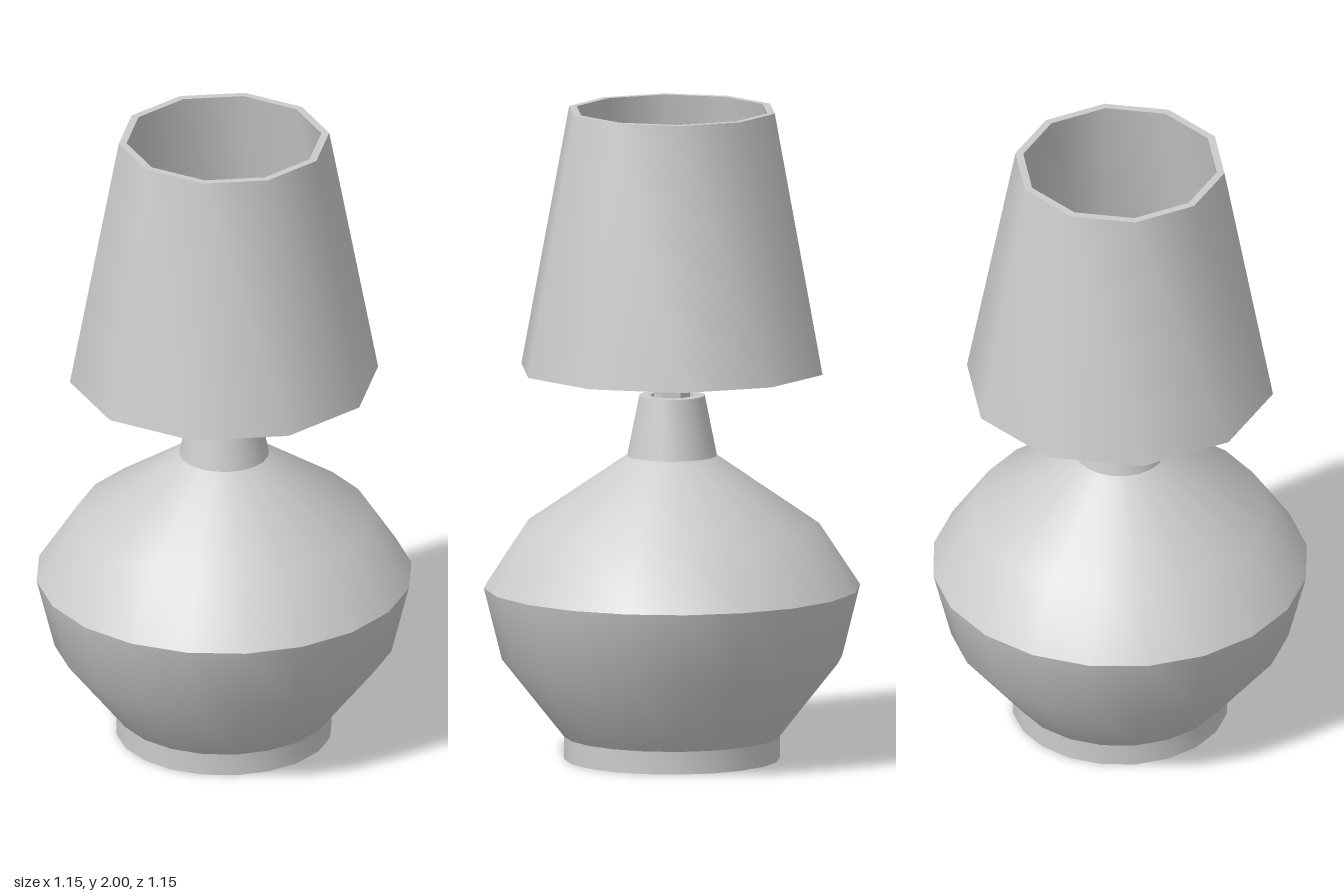
import * as THREE from 'three';
import { toCreasedNormals } from 'three/addons/utils/BufferGeometryUtils.js';

const material = new THREE.MeshStandardMaterial({ color: 0xcccccc });

// Revolves [radius, height] pairs around y, with a corner on the x axis
function turned(name, sides, profile, crease = 0.66) {
  const points = profile.map(([r, y]) => new THREE.Vector2(r, y));
  const lathe = new THREE.LatheGeometry(points, sides, Math.PI / 2);
  const mesh = new THREE.Mesh(toCreasedNormals(lathe, crease), material);
  mesh.name = name;
  return mesh;
}

export function createModel() {
  const lamp = new THREE.Group();
  lamp.name = 'tableLamp';

  // Low ring the lamp stands on
  lamp.add(turned('foot', 20, [[0, 0], [0.33, 0], [0.33, 0.07], [0, 0.07]]));

  // Rounded pot-like body
  lamp.add(turned('body', 20, [
    [0.33, 0.07], [0.52, 0.31], [0.575, 0.53], [0.45, 0.72], [0.137, 0.935],
  ]));

  // Tapered neck with a shallow recess for the pole
  lamp.add(turned('neck', 20, [
    [0.137, 0.935], [0.1, 1.12], [0.066, 1.12], [0.066, 1.1], [0, 1.1],
  ]));

  // Six-sided pole reaching up inside the shade
  lamp.add(turned('pole', 6, [[0.055, 1.08], [0.055, 1.6], [0, 1.6]]));

  // Ten-sided shade with wall thickness, open at both ends
  lamp.add(turned('shade', 10, [
    [0.473, 1.2], [0.323, 2], [0.299, 2], [0.446, 1.2], [0.473, 1.2],
  ]));

  return lamp;
}
